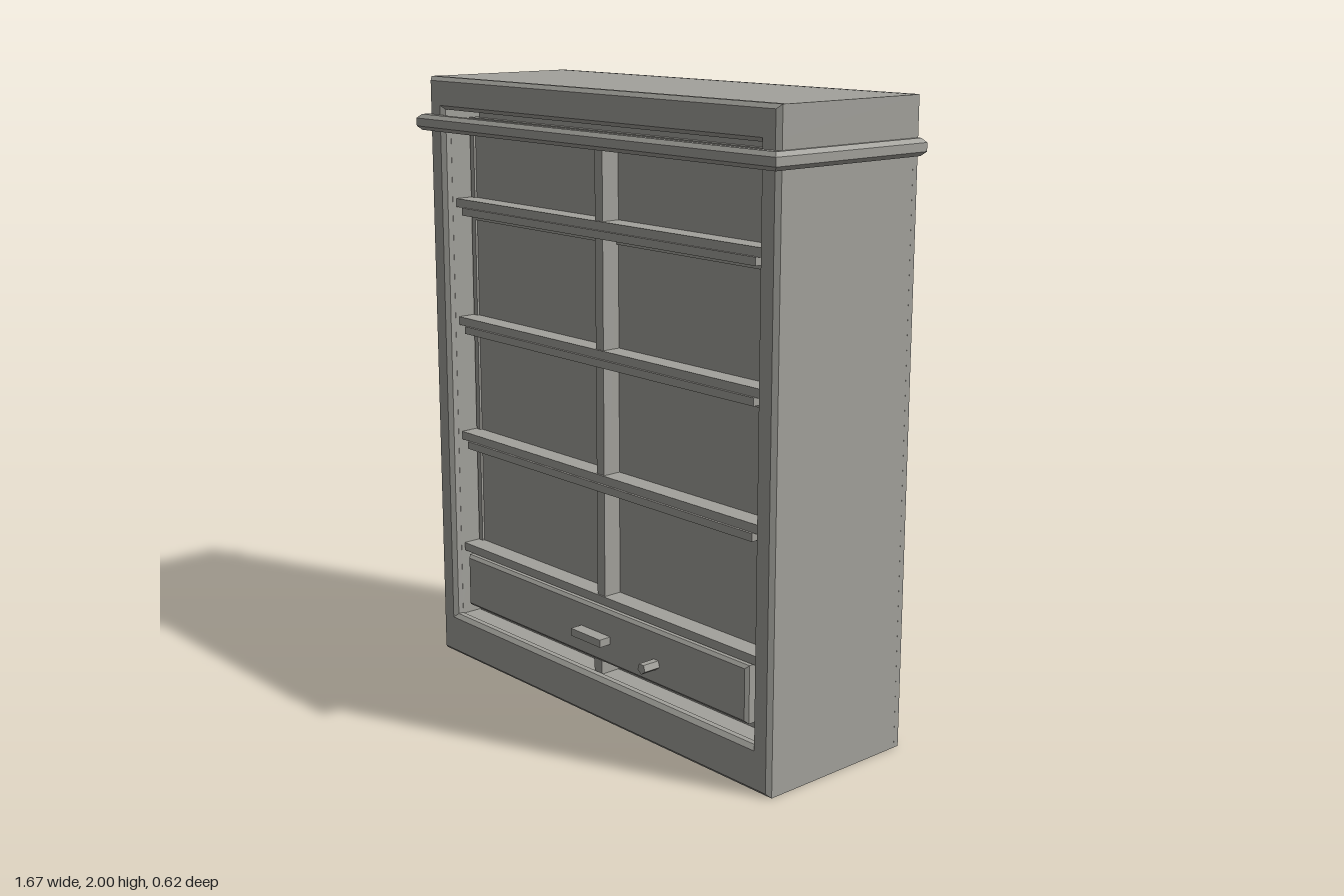
import * as THREE from 'three';

const paint = new THREE.MeshStandardMaterial({ color: 0xa3a29c });
paint.name = 'warm grey paint';

function add(parent, name, geometry) {
  const mesh = new THREE.Mesh(geometry, paint);
  mesh.name = name;
  parent.add(mesh);
  return mesh;
}

// Plain box given by its limits
function box(parent, name, x0, x1, y0, y1, z0, z1) {
  const g = new THREE.BoxGeometry(x1 - x0, y1 - y0, z1 - z0);
  g.translate((x0 + x1) / 2, (y0 + y1) / 2, (z0 + z1) / 2);
  return add(parent, name, g);
}

function rect(x0, x1, y0, y1, Type = THREE.Shape) {
  const s = new Type();
  s.moveTo(x0, y0);
  s.lineTo(x1, y0);
  s.lineTo(x1, y1);
  s.lineTo(x0, y1);
  s.closePath();
  return s;
}

// Extrusion from z0 to z1 with chamfers that stay inside the outline
function plate(shape, z0, z1, b) {
  const g = new THREE.ExtrudeGeometry(shape, {
    depth: z1 - z0 - 2 * b, bevelEnabled: b > 0, bevelSegments: 1,
    bevelSize: b, bevelThickness: b, bevelOffset: -b,
  });
  g.translate(0, 0, z0 + b);
  return g;
}

export function createModel() {
  const root = new THREE.Group();
  root.name = 'wallCabinet';

  // Chamfered frames around the front and back openings
  const frame = () => {
    const s = rect(-0.81, 0.81, 0, 2);
    s.holes.push(rect(-0.735, 0.735, 0.145, 1.895, THREE.Path));
    return s;
  };
  add(root, 'frontFrame', plate(frame(), 0.23, 0.275, 0.013));
  add(root, 'backFrame', plate(frame(), -0.305, -0.26, 0.013));

  // Top, bottom and hollow side walls
  box(root, 'top', -0.81, 0.81, 1.91, 1.9995, -0.29, 0.26);
  box(root, 'bottomBoard', -0.74, 0.74, 0.12, 0.14, -0.28, 0.25);
  for (const s of [-1, 1]) {
    const side = new THREE.Group();
    side.name = s > 0 ? 'leftSide' : 'rightSide';
    root.add(side);
    const wall = (name, a, b, y0, y1) =>
      box(side, name, Math.min(s * a, s * b), Math.max(s * a, s * b), y0, y1, -0.291, 0.261);
    wall('outerWall', 0.785, 0.8099, 0, 1.95);
    wall('innerWall', 0.737, 0.755, 0.12, 1.93);
  }

  // Moulding that wraps the front and both sides
  const u = new THREE.Shape();
  [[-0.834, 0.305], [-0.834, -0.31], [0.834, -0.31], [0.834, 0.305],
    [0.795, 0.305], [0.795, -0.262], [-0.795, -0.262], [-0.795, 0.305]]
    .forEach(([x, y], i) => (i ? u.lineTo(x, y) : u.moveTo(x, y)));
  u.closePath();
  const moulding = plate(u, 1.825, 1.877, 0.013);
  moulding.rotateX(-Math.PI / 2);
  add(root, 'moulding', moulding);

  // Inner box, front face and back panel
  box(root, 'innerBox', -0.705, 0.705, 0.16, 1.9, -0.24, 0.15);
  box(root, 'panelCore', -0.73, 0.73, 0.14, 1.865, 0.13, 0.162);
  box(root, 'backPanel', -0.727, 0.727, 0.15, 1.825, -0.294, -0.27);
  box(root, 'backRail', -0.737, 0.737, 1.84, 1.872, -0.296, -0.265);

  // Raised framing around eight sunken panels
  const face = rect(-0.73, 0.73, 0.14, 1.865);
  for (const [y0, y1] of [[0.4, 0.725], [0.8, 1.125], [1.2, 1.525], [1.6, 1.85]]) {
    face.holes.push(rect(-0.71, -0.015, y0, y1, THREE.Path));
    face.holes.push(rect(0.015, 0.71, y0, y1, THREE.Path));
  }
  add(root, 'panelFraming', plate(face, 0.16, 0.17, 0));

  // Shelves, the strips under them and the middle divider
  for (const y of [0.4, 0.8, 1.2, 1.6]) {
    box(root, 'shelf', -0.732, 0.732, y - 0.028, y, 0.15, 0.23);
    if (y > 0.5) box(root, 'shelfStrip', -0.69, 0.69, y - 0.052, y - 0.027, 0.16, 0.238);
  }
  box(root, 'divider', -0.018, 0.018, 0.39, 1.86, 0.15, 0.225);
  box(root, 'drawerSupport', -0.018, 0.018, 0.14, 0.19, 0.15, 0.24);

  // Drawer with its handle and knob
  const drawer = new THREE.Group();
  drawer.name = 'drawer';
  root.add(drawer);
  add(drawer, 'drawerFront', plate(rect(-0.69, 0.69, 0.187, 0.37), 0.16, 0.25, 0.01));
  box(drawer, 'handle', -0.072, 0.072, 0.26, 0.285, 0.24, 0.293);
  const knob = new THREE.CylinderGeometry(0.018, 0.018, 0.07, 5).toNonIndexed();
  knob.computeVertexNormals();
  knob.rotateX(-Math.PI / 2);
  knob.rotateZ(Math.PI);
  knob.translate(0.29, 0.258, 0.275);
  add(drawer, 'knob', knob);

  // Levelling feet under the bottom board
  for (const x of [-0.68, 0.68]) for (const z of [-0.165, 0.145]) {
    const foot = new THREE.Group();
    foot.name = 'foot';
    foot.position.set(x, 0, z);
    root.add(foot);
    add(foot, 'footStem', new THREE.CylinderGeometry(0.014, 0.014, 0.115, 12)).position.y = 0.07;
    add(foot, 'footPad', new THREE.CylinderGeometry(0.032, 0.036, 0.016, 16)).position.y = 0.01;
  }
  return root;
}
